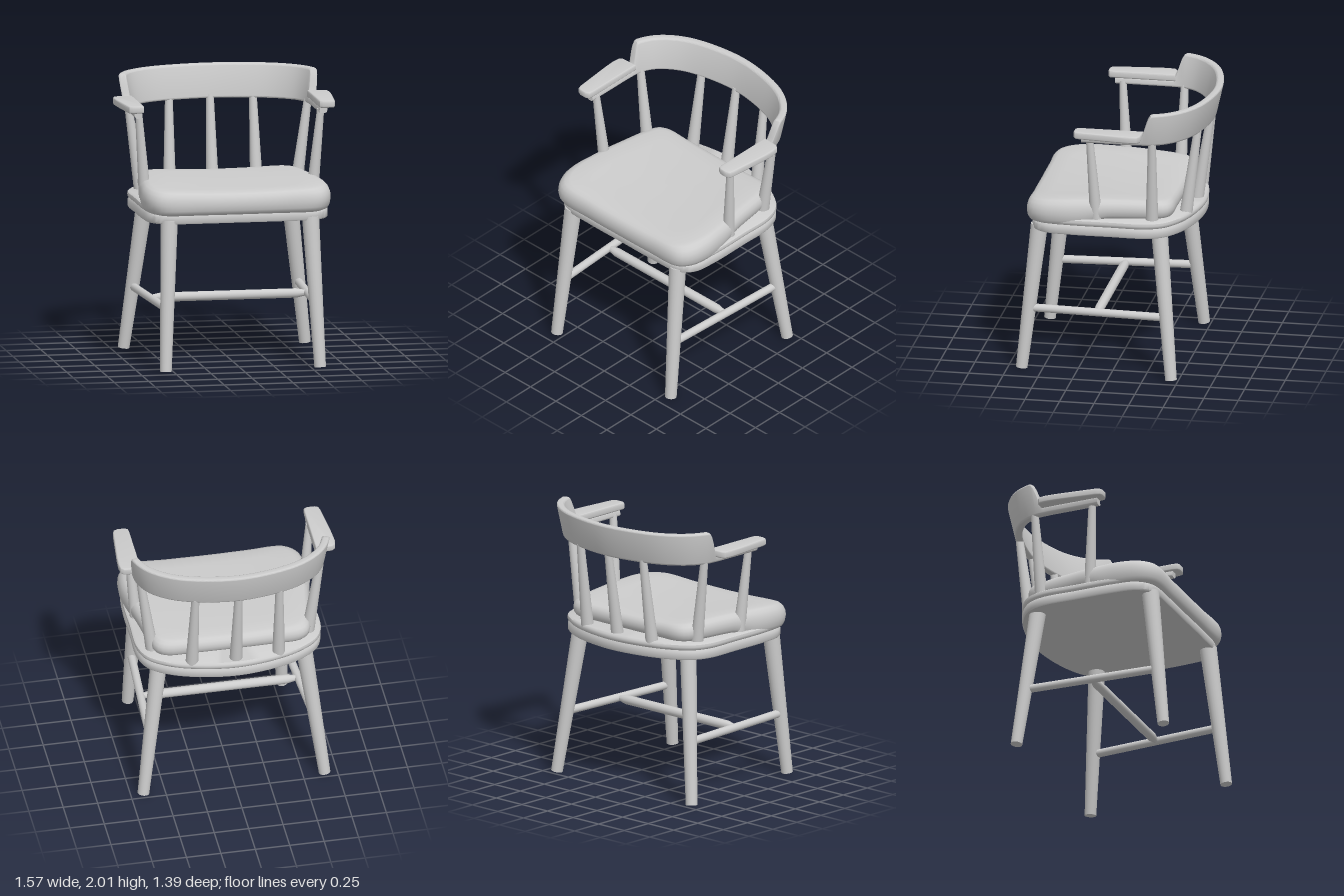
import * as THREE from 'three';
import { toCreasedNormals } from 'three/addons/utils/BufferGeometryUtils.js';

const V = (x, y, z) => new THREE.Vector3(x, y, z);
const grey = new THREE.MeshStandardMaterial({ color: 0xcccccc });
grey.name = 'light grey';

function add(parent, name, geometry) {
  const mesh = new THREE.Mesh(geometry, grey);
  mesh.name = name;
  parent.add(mesh);
  return mesh;
}

// Skin over a list of closed rings, each with the same number of points
function loft(rings, crease = 0.7) {
  const n = rings[0].length, idx = [];
  for (let j = 0; j < rings.length - 1; j++) {
    for (let i = 0; i < n; i++) {
      const a = j * n + i, b = j * n + (i + 1) % n;
      idx.push(a, a + n, b, b, a + n, b + n);
    }
  }
  const g = new THREE.BufferGeometry().setFromPoints(rings.flat());
  g.setIndex(idx);
  return toCreasedNormals(g, crease);
}

// Smooth closed plan outline from its +x half, listed back to front
function outline(half) {
  const pts = half.map(([x, z]) => V(x, 0, z));
  const mirrored = half.slice(1, -1).reverse().map(([x, z]) => V(-x, 0, z));
  return new THREE.CatmullRomCurve3([...pts, ...mirrored], true).getSpacedPoints(120).slice(0, -1);
}

// Tapered round bar between two points
function bar(parent, name, a, b, ra, rb) {
  const g = new THREE.CylinderGeometry(rb, ra, a.distanceTo(b), 20);
  const mesh = add(parent, name, g);
  mesh.position.copy(a).lerp(b, 0.5);
  mesh.quaternion.setFromUnitVectors(V(0, 1, 0), b.clone().sub(a).normalize());
  return mesh;
}

// Seat board with a groove around its edge
function seatBoard() {
  const plan = outline([[0, -0.59], [0.3, -0.55], [0.5, -0.475], [0.62, -0.38], [0.67, -0.25],
    [0.672, 0], [0.67, 0.3], [0.645, 0.48], [0.56, 0.57], [0.3, 0.59], [0, 0.59]]);
  const profile = [[0.001, 1.05], [0.985, 1.05], [0.995, 1.06], [0.995, 1.105], [0.98, 1.12],
    [0.995, 1.13], [1, 1.145], [0.995, 1.16], [0.975, 1.17], [0.001, 1.17]];
  return loft(profile.map(([s, y]) => plan.map(p => V(p.x * s, y, p.z * s))));
}

// Padded cushion, its front lip hanging lower over the board
function cushion() {
  const plan = outline([[0, -0.437], [0.3, -0.435], [0.49, -0.43], [0.555, -0.39], [0.585, -0.3],
    [0.625, -0.05], [0.665, 0.2], [0.68, 0.38], [0.655, 0.52], [0.58, 0.605], [0.3, 0.62], [0, 0.622]]);
  const profile = [[0.001, 0], [0.93, 0], [0.97, 0.08], [0.99, 0.22], [1, 0.45], [0.995, 0.65],
    [0.975, 0.83], [0.94, 0.95], [0.89, 1], [0.7, 1], [0.45, 0.98], [0.2, 0.98], [0.001, 0.98]];
  const cz = 0.09;
  return loft(profile.map(([s, t]) => plan.map(p => {
    const x = p.x * s, z = cz + (p.z - cz) * s;
    const low = 1.165 - 0.055 * THREE.MathUtils.smoothstep(z, 0, 0.25);
    const high = 1.29 - 0.06 * (z + 0.02) ** 2 + 0.02 * (x / 0.6) ** 2;
    return V(x, low + (high - low) * t, z);
  })), 1.0);
}

// Leaning curved back rail that drops and runs on as the arm rails
function backRail() {
  const half = [[0.667, 0.195], [0.665, 0], [0.663, -0.2], [0.652, -0.3], [0.595, -0.41],
    [0.47, -0.51], [0.3, -0.575]];
  const path = new THREE.CatmullRomCurve3([...half.map(([x, z]) => V(x, 0, z)), V(0, 0, -0.617),
    ...half.slice().reverse().map(([x, z]) => V(-x, 0, z))]);
  const rings = [], steps = 180, base = 1.757, r = 0.016, w = 0.028;
  for (let k = 0; k <= steps; k++) {
    const p = path.getPointAt(k / steps);
    const out = path.getTangentAt(k / steps).cross(V(0, 1, 0));
    const rise = THREE.MathUtils.smoothstep(-p.z, 0.225, 0.305);
    const top = 1.81 + 0.19 * rise;
    const lean = 0.045 + 0.01 * THREE.MathUtils.smoothstep(-p.z, 0.3, 0.6);
    const ring = [];
    [[1, -1], [1, 1], [-1, 1], [-1, -1]].forEach(([sn, sy], c) => {
      for (let i = 0; i <= 4; i++) {
        const a = (c - 1 + i / 4) * Math.PI / 2;
        const y = (sy > 0 ? top - r : base + r) + Math.sin(a) * r;
        const n = sn * (w - r) + Math.cos(a) * r + lean * (y - base) / 0.243;
        ring.push(V(p.x, y, p.z).addScaledVector(out, n));
      }
    });
    rings.push(ring);
  }
  // closed ends
  const cap = ring => {
    const c = ring.reduce((s, p) => s.add(p), V(0, 0, 0)).divideScalar(ring.length);
    return ring.map(() => c.clone());
  };
  return loft([cap(rings[0]), ...rings, cap(rings[steps])]);
}

// Flat paddle-shaped arm rest
function armRest(side) {
  const pts = [[0.645, -0.235], [0.75, -0.23], [0.768, -0.215], [0.775, -0.17], [0.77, -0.08],
    [0.742, 0.2], [0.735, 0.225], [0.715, 0.235], [0.665, 0.235], [0.648, 0.225], [0.645, 0.2]];
  const shape = new THREE.Shape(pts.map(([x, z]) => new THREE.Vector2(side * x, z)));
  const g = new THREE.ExtrudeGeometry(shape, {
    depth: 0.03, bevelThickness: 0.011, bevelSize: 0.011, bevelSegments: 3 });
  g.rotateX(Math.PI / 2).translate(0, 1.842, 0);
  return toCreasedNormals(g, 0.7);
}

export function createModel() {
  const chair = new THREE.Group();
  chair.name = 'armchair';
  add(chair, 'seatBoard', seatBoard());
  add(chair, 'seatCushion', cushion());
  add(chair, 'backRail', backRail());

  for (const s of [1, -1]) {
    const side = s > 0 ? 'left' : 'right';
    add(chair, side + 'ArmRest', armRest(s));
    // splayed legs
    bar(chair, side + 'FrontLeg', V(s * 0.56, 0, 0.65), V(s * 0.513, 1.07, 0.53), 0.042, 0.062);
    bar(chair, side + 'BackLeg', V(s * 0.658, 0, -0.45), V(s * 0.525, 1.07, -0.342), 0.042, 0.06);
    // side stretcher
    bar(chair, side + 'SideStretcher', V(s * 0.545, 0.447, 0.6), V(s * 0.6, 0.447, -0.405), 0.029, 0.029);
    // arm posts and outer spindles
    bar(chair, side + 'ArmPost', V(s * 0.605, 1.15, 0.1), V(s * 0.66, 1.78, 0.14), 0.045, 0.026);
    bar(chair, side + 'SideSpindle', V(s * 0.565, 1.15, -0.295), V(s * 0.652, 1.78, -0.31), 0.046, 0.028);
    bar(chair, side + 'BackSpindle', V(s * 0.315, 1.15, -0.497), V(s * 0.305, 1.78, -0.58), 0.046, 0.028);
  }
  bar(chair, 'middleBackSpindle', V(0, 1.15, -0.52), V(0, 1.78, -0.617), 0.046, 0.028);

  // cross stretcher with tapered ends
  const profile = [[0.001, -0.58], [0.018, -0.57], [0.034, -0.49], [0.034, 0.49], [0.018, 0.57], [0.001, 0.58]];
  const cross = new THREE.LatheGeometry(profile.map(([r, y]) => new THREE.Vector2(r, y)), 20);
  cross.rotateZ(Math.PI / 2).translate(0, 0.447, 0.1);
  add(chair, 'crossStretcher', toCreasedNormals(cross, 0.7));
  return chair;
}
